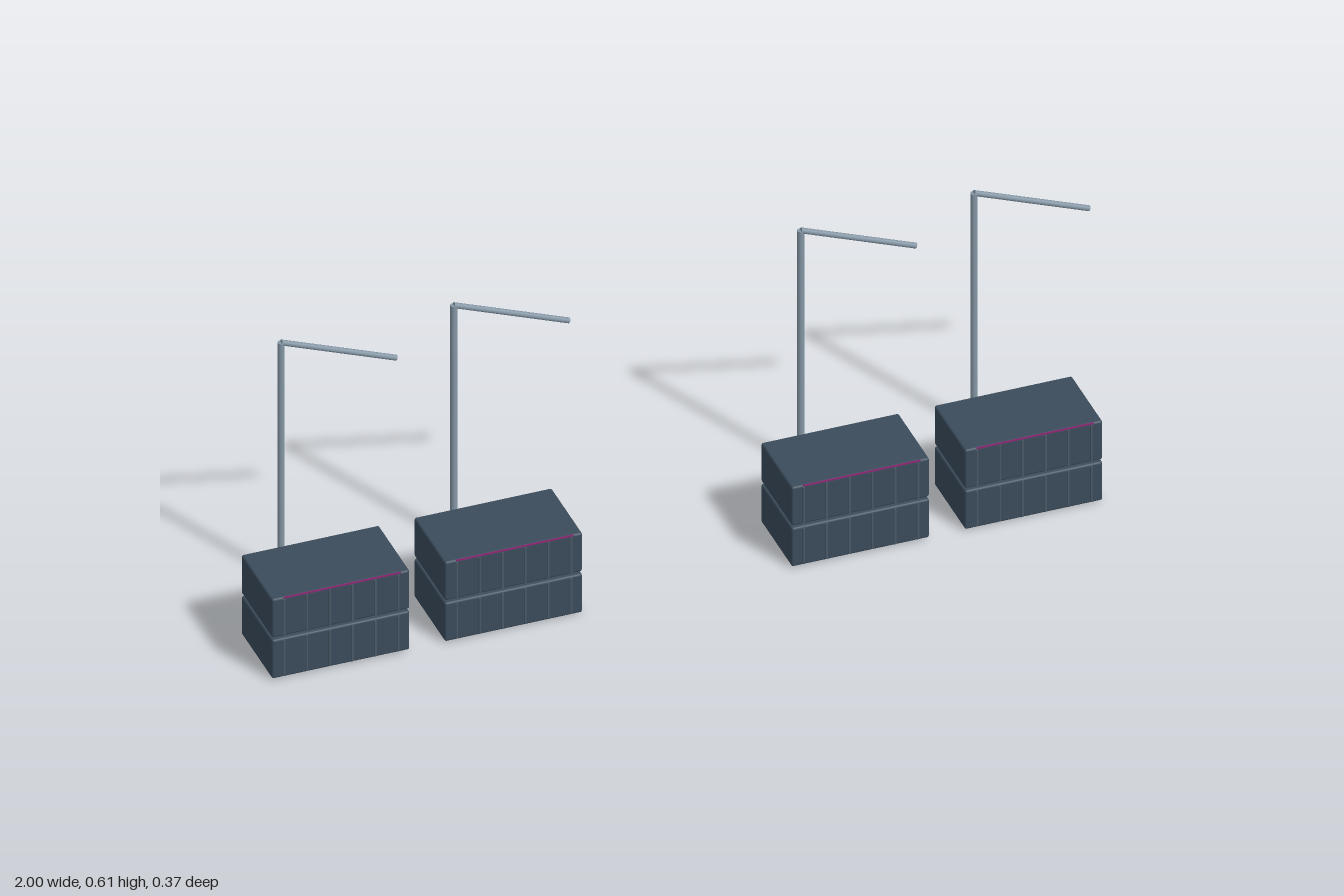
import * as THREE from 'three';
import { RoundedBoxGeometry } from 'three/addons/geometries/RoundedBoxGeometry.js';

const steel = new THREE.MeshStandardMaterial({ color: 0x8496a5 });
const hull = new THREE.MeshStandardMaterial({ color: 0x3b4c5c });
const ribPaint = new THREE.MeshStandardMaterial({ color: 0x4a5a68 });
const neon = new THREE.MeshStandardMaterial({ color: 0x8a2470 });

function add(parent, name, geometry, material, x, y, z) {
  const mesh = new THREE.Mesh(geometry, material);
  mesh.name = name;
  mesh.position.set(x, y, z);
  parent.add(mesh);
  return mesh;
}

// One container with six thin ribs on its front
function container(y) {
  const g = new THREE.Group();
  g.name = 'container';
  add(g, 'containerBody', new RoundedBoxGeometry(0.313, 0.099, 0.184, 2, 0.005), hull, 0, y, 0.087);
  for (let i = 0; i < 6; i++) {
    add(g, 'frontRib', new THREE.BoxGeometry(0.004, 0.09, 0.004), ribPaint, (i - 2.5) * 0.052, y, 0.1805);
  }
  return g;
}

// Mast with an arm sloping down from its top
function crane() {
  const g = new THREE.Group();
  g.name = 'crane';
  const z = -0.1775;
  add(g, 'mast', new THREE.CylinderGeometry(0.0078, 0.0078, 0.605, 12), steel, 0, 0.3025, z);
  const from = new THREE.Vector3(0, 0.605, z);
  const to = new THREE.Vector3(0.262, 0.502, z);
  const dir = to.clone().sub(from);
  const mid = from.clone().add(to).multiplyScalar(0.5);
  const arm = add(g, 'arm', new THREE.CylinderGeometry(0.0066, 0.0066, dir.length(), 8), steel, mid.x, mid.y, mid.z);
  arm.quaternion.setFromUnitVectors(new THREE.Vector3(0, 1, 0), dir.normalize());
  return g;
}

export function createModel() {
  const model = new THREE.Group();
  model.name = 'containerYard';
  for (const x of [-0.843, -0.45, 0.339, 0.733]) {
    const bay = new THREE.Group();
    bay.name = 'bay';
    bay.position.x = x;
    bay.add(container(0.0535), container(0.1585), crane());
    // Thin light strip floating at the upper front edge
    add(bay, 'lightStrip', new THREE.BoxGeometry(0.266, 0.003, 0.003), neon, 0, 0.212, 0.1855);
    model.add(bay);
  }
  return model;
}
